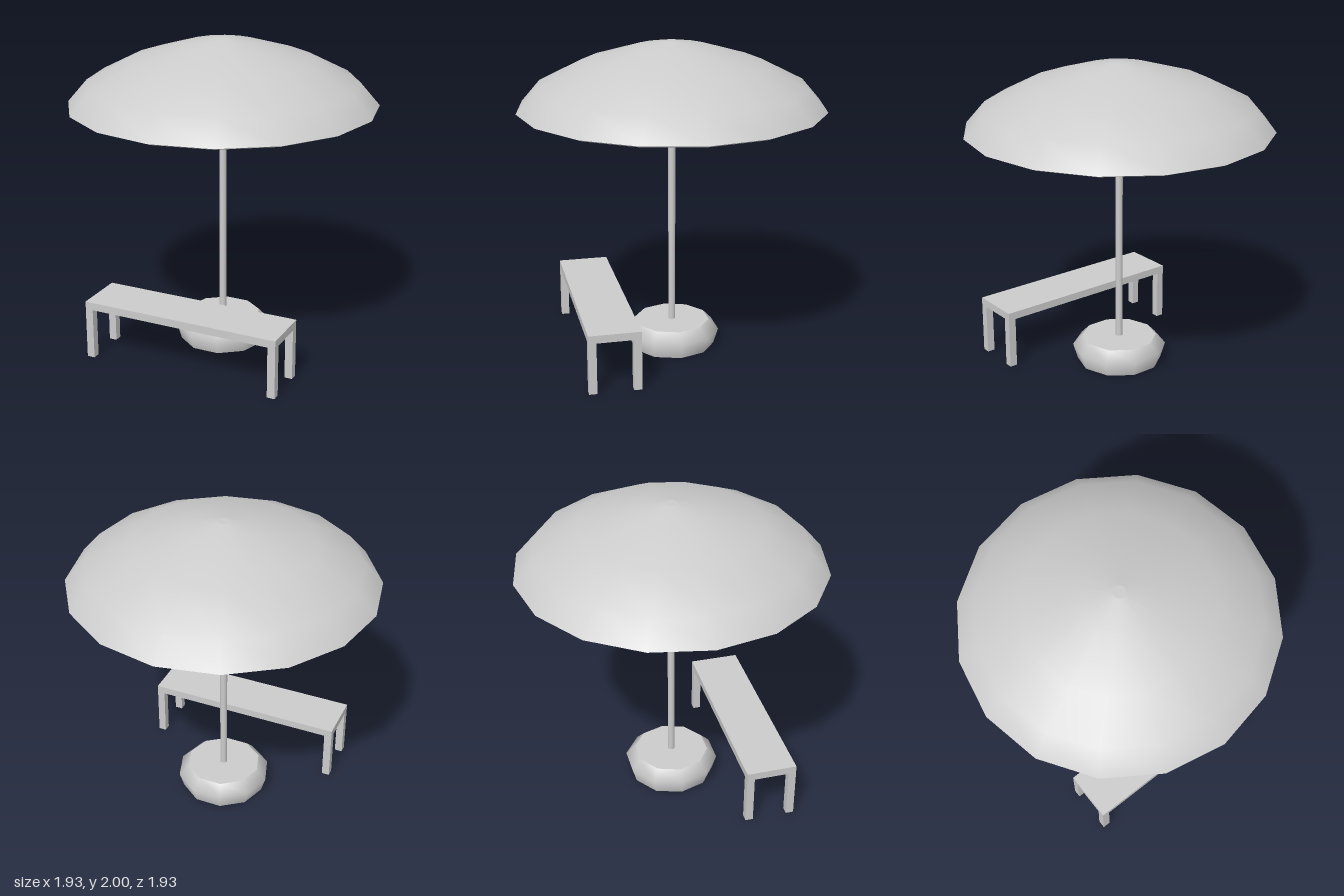
import * as THREE from 'three';

const grey = new THREE.MeshStandardMaterial({ color: 0xcccccc, side: THREE.DoubleSide });

function add(parent, name, geometry, x = 0, y = 0, z = 0) {
  const mesh = new THREE.Mesh(geometry, grey);
  mesh.name = name;
  mesh.position.set(x, y, z);
  parent.add(mesh);
  return mesh;
}

// Turned surface with a corner on the x axis; points run bottom to top on the outside
function lathe(points, sides) {
  return new THREE.LatheGeometry(points.map(([r, y]) => new THREE.Vector2(r, y)), sides, Math.PI / 2);
}

function createParasol() {
  const parasol = new THREE.Group();
  parasol.name = 'parasol';

  // Canopy: domed cover, thin rim, conical lining and flat cap
  add(parasol, 'canopyCover', lathe([[0.966, 1.585], [0.845, 1.725], [0.57, 1.865], [0.235, 1.965], [0.04, 2.0]], 16));
  add(parasol, 'canopyRim', lathe([[0.93, 1.57], [0.966, 1.585]], 16));
  add(parasol, 'canopyLining', lathe([[0.001, 1.945], [0.93, 1.57]], 16));
  add(parasol, 'canopyCap', lathe([[0.04, 2.0], [0, 2.0]], 16));

  // Pole from inside the base to the cap
  add(parasol, 'pole', new THREE.CylinderGeometry(0.023, 0.023, 1.9, 12), 0, 1.05, 0);

  // Hollow base, open underneath
  add(parasol, 'baseWall', lathe([[0.275, 0], [0.305, 0.1], [0.242, 0.165]], 10));
  add(parasol, 'baseTop', lathe([[0.242, 0.165], [0, 0.165]], 10));
  return parasol;
}

function createBench() {
  const bench = new THREE.Group();
  bench.name = 'bench';
  bench.position.z = 0.4875;
  const length = 1.295, depth = 0.325, bar = 0.05, railY = 0.3475, railH = 0.035;
  const legX = (length - bar) / 2, legZ = (depth - bar) / 2;

  add(bench, 'seat', new THREE.BoxGeometry(length, 0.015, depth), 0, 0.3725, 0);
  for (const s of [-1, 1]) {
    // Rails under the seat
    add(bench, 'longRail', new THREE.BoxGeometry(length, railH, bar), 0, railY, s * legZ);
    add(bench, 'endRail', new THREE.BoxGeometry(bar, railH, depth - 2 * bar), s * legX, railY, 0);
    for (const t of [-1, 1]) {
      add(bench, 'leg', new THREE.BoxGeometry(bar, 0.33, bar), s * legX, 0.165, t * legZ);
    }
  }
  return bench;
}

export function createModel() {
  const model = new THREE.Group();
  model.name = 'parasolWithBench';
  model.add(createParasol(), createBench());
  return model;
}
